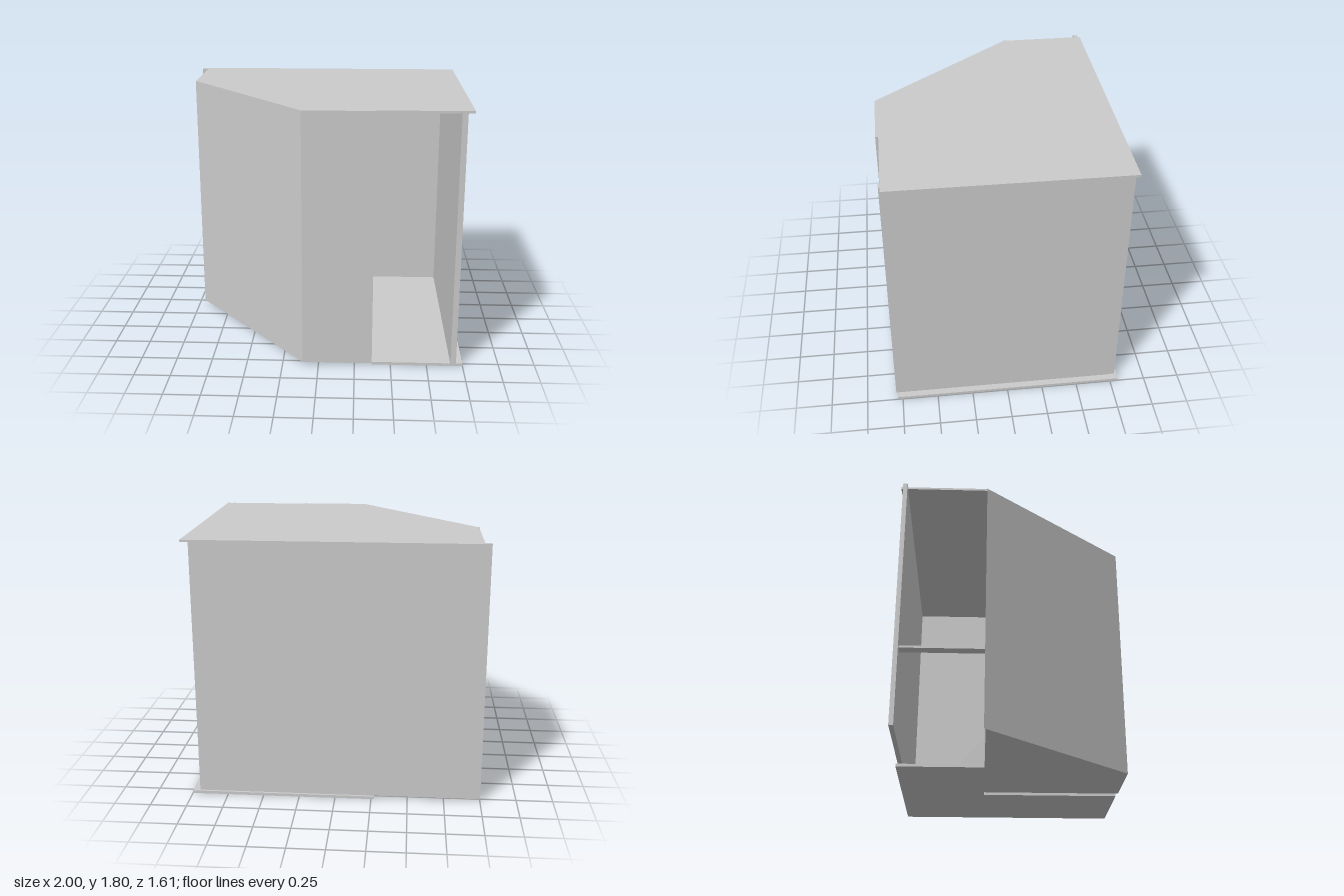
import * as THREE from 'three';

export function createModel() {
  const group = new THREE.Group();
  const material = new THREE.MeshStandardMaterial({ color: 0xcccccc, flatShading: true });

  // Upright prism over a floor outline of [x, z] points, from y0 to y1
  function prism(name, outline, y0, y1) {
    const shape = new THREE.Shape(outline.map(([x, z]) => new THREE.Vector2(x, -z)));
    const geometry = new THREE.ExtrudeGeometry(shape, { depth: y1 - y0, bevelEnabled: false });
    geometry.rotateX(-Math.PI / 2).translate(0, y0, 0);
    const mesh = new THREE.Mesh(geometry, material);
    mesh.name = name;
    group.add(mesh);
  }

  // Axis-aligned board between two corners
  function board(name, [x0, y0, z0], [x1, y1, z1]) {
    const mesh = new THREE.Mesh(new THREE.BoxGeometry(x1 - x0, y1 - y0, z1 - z0), material);
    mesh.position.set((x0 + x1) / 2, (y0 + y1) / 2, (z0 + z1) / 2);
    mesh.name = name;
    group.add(mesh);
  }

  // L-shaped plate that wraps round the corner cabinet
  const plate = (left) => [
    [left, -0.805], [1, -0.805], [1, 0.785], [0.37, 0.785], [0.37, -0.2], [left, -0.2],
  ];

  // Cabinet body with the slanted front corner
  prism('cornerCabinet', [[-0.96, -0.21], [-0.11, 0.805], [0.37, 0.805], [0.37, -0.2], [-0.955, -0.2]].map(
    ([x, z]) => [x, z]), 0.02, 1.8);

  // Floor and roof plates
  prism('floorPlate', plate(-0.27), 0, 0.02);
  prism('roofPlate', plate(-0.955), 1.785, 1.8);

  // Upright walls
  board('backPanel', [-1, 0.02, -0.79], [0.95, 1.799, -0.76]);
  board('sidePanel', [0.915, 0.02, -0.76], [0.953, 1.799, 0.795]);

  // Narrow step across the side opening
  board('shelf', [-0.95, 0.565, -0.76], [-0.88, 0.58, -0.2]);

  return group;
}
